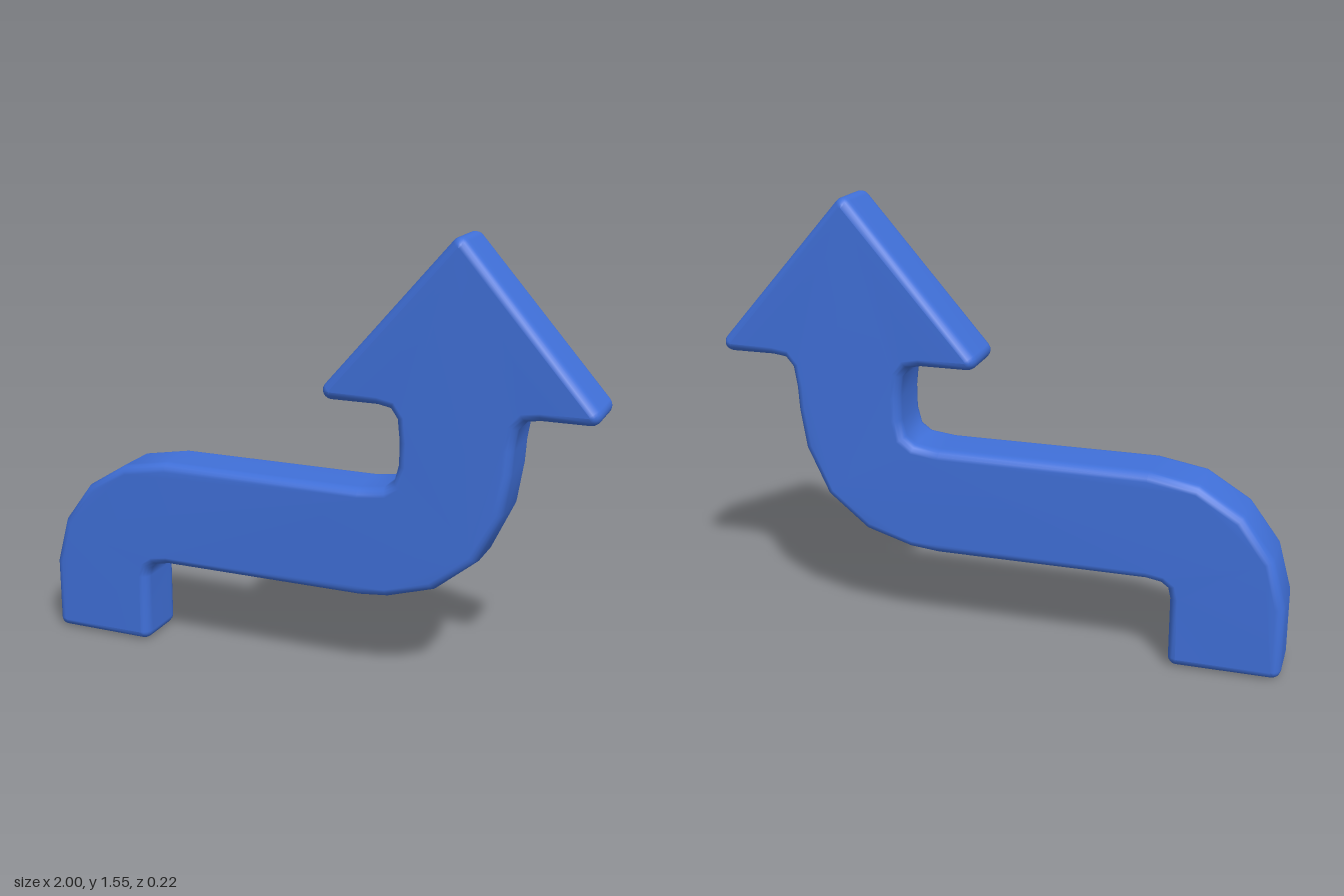
import * as THREE from 'three';
import { mergeVertices } from 'three/addons/utils/BufferGeometryUtils.js';

const DEPTH = 0.22;      // full thickness along z
const BEVEL = 0.04;      // bevel along z
const INSET = 0.03;      // bevel across the outline
const R = 0.032;         // radius of the outer corners

// Outline of the bent arrow, counter-clockwise from the foot
function arrowShape() {
  const shape = new THREE.Shape();
  const corner = (x, y, from, to) =>
    shape.absarc(x, y, R, THREE.MathUtils.degToRad(from), THREE.MathUtils.degToRad(to), false);
  const path = (points) => points.forEach(([x, y]) => shape.lineTo(x, y));

  // foot
  corner(-0.968, 0.034, 180, 270);
  corner(-0.647, 0.034, 270, 360);
  // inside of the lower bend, underside, outside of the upper bend
  path([[-0.615, 0.25], [-0.607, 0.285], [-0.583, 0.303], [-0.53, 0.312],
    [0.21, 0.312], [0.31, 0.322], [0.475, 0.372], [0.62, 0.49], [0.7, 0.66],
    [0.722, 0.8], [0.727, 0.88], [0.738, 0.95], [0.763, 0.98], [0.81, 0.987]]);
  // arrow head
  corner(0.965, 1.019, 270, 401);
  corner(0.53, 1.515, 41, 139);
  corner(0.1, 1.019, 139, 270);
  // inside of the upper bend, top side, outside of the lower bend
  path([[0.265, 0.987], [0.31, 0.978], [0.333, 0.945], [0.341, 0.87], [0.34, 0.79],
    [0.325, 0.732], [0.29, 0.706], [0.2, 0.695], [-0.53, 0.695], [-0.7, 0.665],
    [-0.85, 0.572], [-0.955, 0.43], [-1, 0.265]]);
  return shape;
}

export function createModel() {
  const group = new THREE.Group();
  group.name = 'bentArrow';

  const blue = new THREE.MeshStandardMaterial({ color: 0x4070d9 });
  blue.name = 'blue';

  const extruded = new THREE.ExtrudeGeometry(arrowShape(), {
    depth: DEPTH - 2 * BEVEL,
    steps: 1,
    curveSegments: 3,
    bevelEnabled: true,
    bevelThickness: BEVEL,
    bevelSize: INSET,
    bevelOffset: -INSET,
    bevelSegments: 4,
  });
  extruded.translate(0, 0, -DEPTH / 2 + BEVEL);

  // Weld the corners for soft, rounded edges
  extruded.deleteAttribute('uv');
  extruded.deleteAttribute('normal');
  extruded.clearGroups();
  const geometry = mergeVertices(extruded, 1e-4);
  geometry.computeVertexNormals();

  const arrow = new THREE.Mesh(geometry, blue);
  arrow.name = 'arrow';
  group.add(arrow);
  return group;
}
